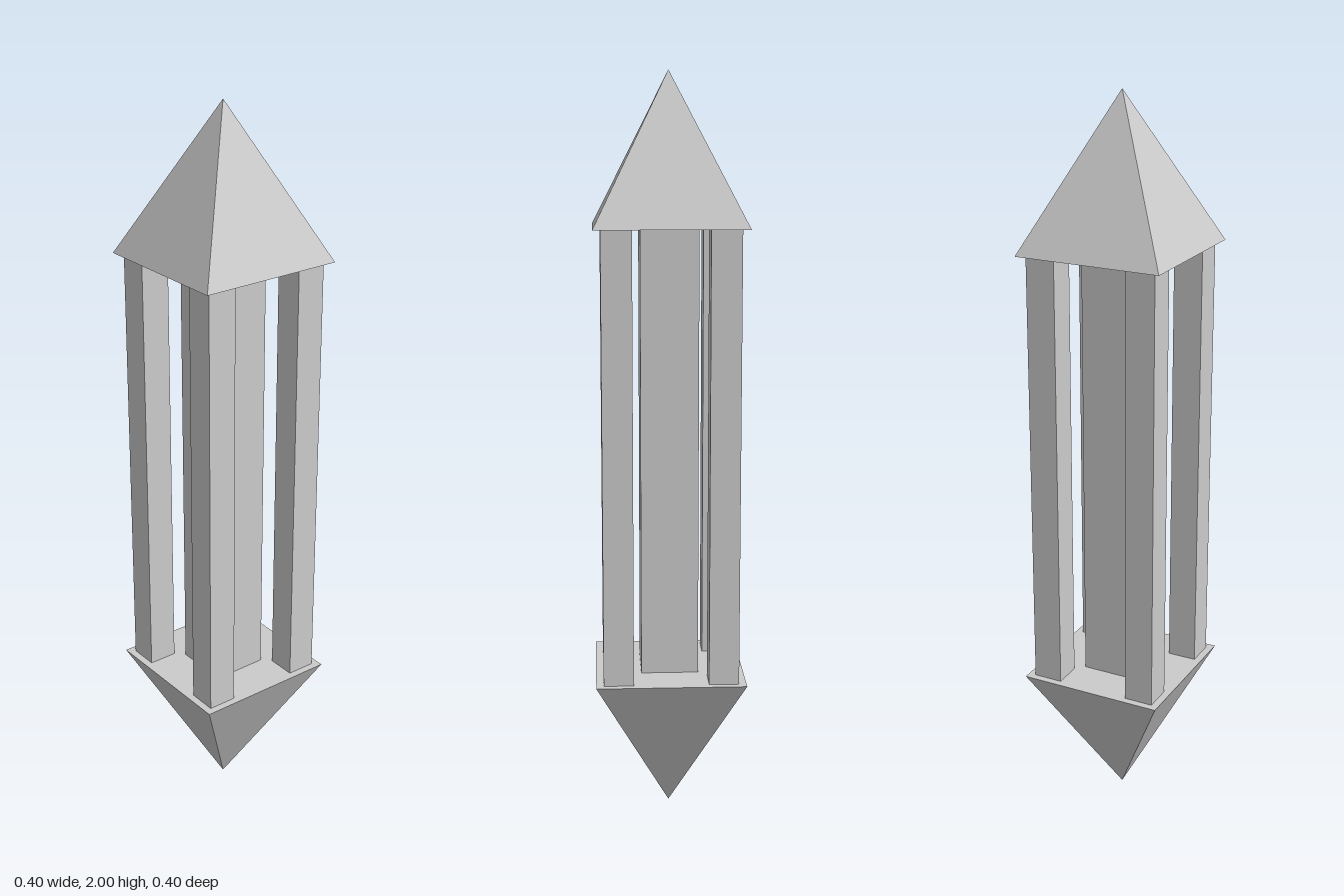
import * as THREE from 'three';

export function createModel() {
  const group = new THREE.Group();
  const material = new THREE.MeshStandardMaterial({ color: 0xcccccc, flatShading: true });

  const add = (name, geometry, x, y, z) => {
    const mesh = new THREE.Mesh(geometry, material);
    mesh.name = name;
    mesh.position.set(x, y, z);
    group.add(mesh);
    return mesh;
  };

  // Square pyramids closing both ends, the lower one pointing down
  const pyramid = new THREE.ConeGeometry(0.2 * Math.SQRT2, 0.4, 4).rotateY(Math.PI / 4);
  add('topPyramid', pyramid, 0, 1.8, 0);
  add('bottomPyramid', pyramid, 0, 0.2, 0).rotation.x = Math.PI;

  // Thick central core
  add('core', new THREE.BoxGeometry(0.154, 1.2, 0.154), 0, 1, 0);

  // Slim square posts near the four corners
  const post = new THREE.BoxGeometry(0.08, 1.2, 0.08);
  for (const [xName, x] of [['Left', 0.14], ['Right', -0.14]]) {
    for (const [zName, z] of [['front', 0.14], ['back', -0.14]]) {
      add(`${zName}${xName}Post`, post, x, 1, z);
    }
  }

  return group;
}
